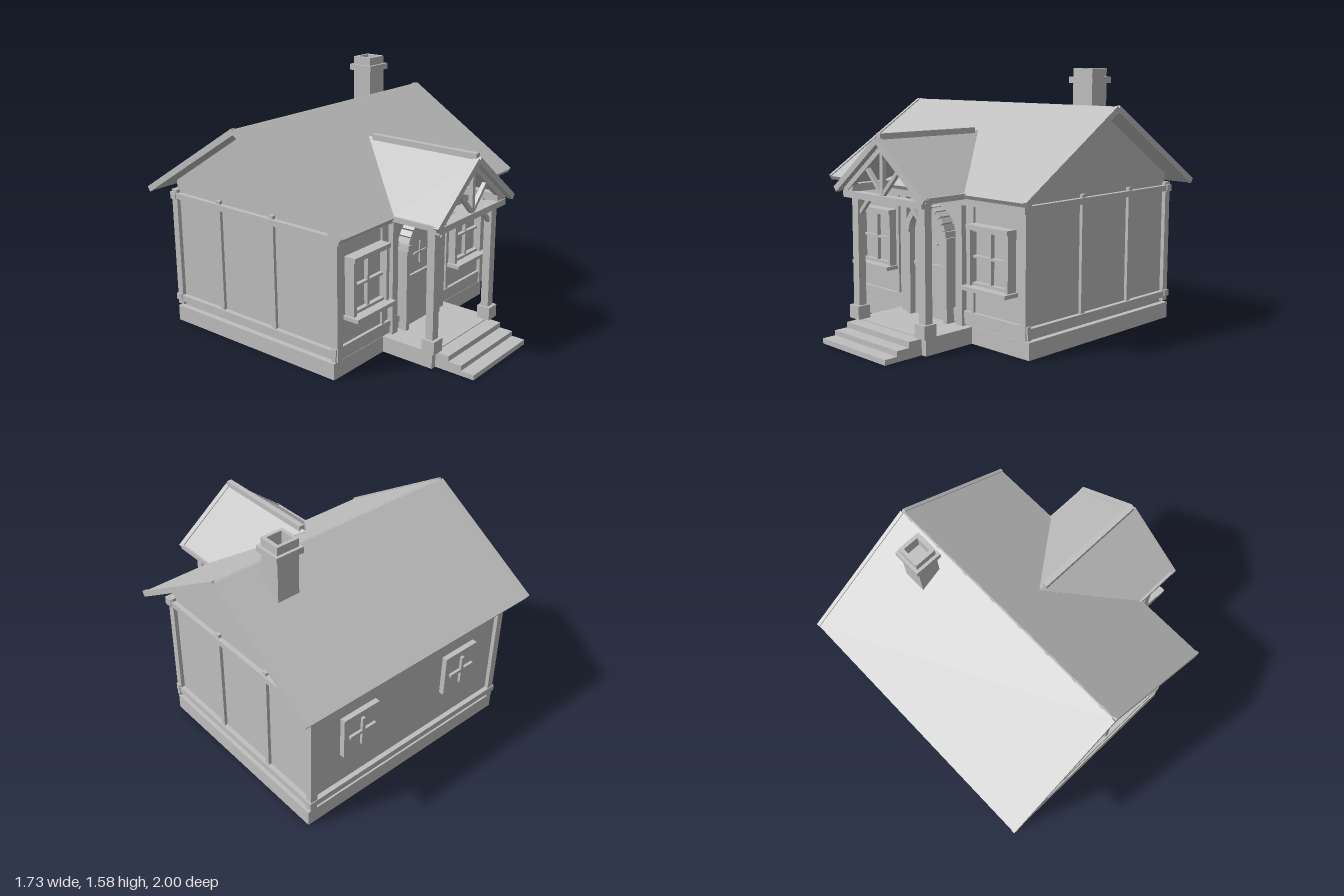
import * as THREE from 'three';
import { ConvexGeometry } from 'three/addons/geometries/ConvexGeometry.js';

const grey = new THREE.MeshStandardMaterial({ color: 0xbfbfbf });
grey.name = 'plain grey';

export function createModel() {
  const model = new THREE.Group();
  model.name = 'cottage';

  const add = (name, geometry, parent = model) => {
    const mesh = new THREE.Mesh(geometry, grey);
    mesh.name = name;
    parent.add(mesh);
    return mesh;
  };
  // box given by its limits on each axis
  const box = (name, x0, x1, y0, y1, z0, z1, parent = model) => {
    const mesh = add(name, new THREE.BoxGeometry(x1 - x0, y1 - y0, z1 - z0), parent);
    mesh.position.set((x0 + x1) / 2, (y0 + y1) / 2, (z0 + z1) / 2);
    return mesh;
  };
  // sloping beam or slab between two points
  const beam = (name, a, b, width, thick, parent = model) => {
    const p = new THREE.Vector3(...a), q = new THREE.Vector3(...b);
    const mesh = add(name, new THREE.BoxGeometry(width, thick, p.distanceTo(q)), parent);
    mesh.position.copy(p).lerp(q, 0.5);
    mesh.lookAt(q);
    return mesh;
  };
  // box repeated on both sides of x = 0
  const pair = (name, x0, x1, y0, y1, z0, z1) => {
    box(name, x0, x1, y0, y1, z0, z1);
    box(name, -x1, -x0, y0, y1, z0, z1);
  };

  // foundation, porch floor and steps
  box('foundation', -0.77, 0.77, 0, 0.1, -0.9, 0.39);
  box('porchFloor', -0.32, 0.32, 0, 0.1, 0.385, 0.74);
  [[0.74, 0.83, 0.095], [0.83, 0.915, 0.062], [0.915, 1, 0.031]].forEach(([z0, z1, h]) =>
    box('step', -0.285, 0.285, 0, h, z0, z1));

  // walls with both gables, as one house-shaped prism
  const profile = new THREE.Shape([[0.385, 0.1], [0.385, 0.935], [-0.24, 1.335], [-0.885, 0.925], [-0.885, 0.1]]
    .map(([z, y]) => new THREE.Vector2(z, y)));
  const walls = new THREE.ExtrudeGeometry(profile, { depth: 1.47, bevelEnabled: false });
  walls.translate(0, 0, -0.735).rotateY(-Math.PI / 2);
  add('walls', walls);

  // timber frame
  for (const [z0, z1] of [[0.365, 0.41], [-0.91, -0.865]]) {
    pair('cornerPost', 0.715, 0.76, 0.11, 0.87, z0, z1);
  }
  for (const z of [-0.08, -0.51]) pair('sidePost', 0.73, 0.755, 0.13, 0.87, z - 0.016, z + 0.016);
  pair('sideTopRail', 0.73, 0.765, 0.815, 0.85, -0.9, 0.4);
  pair('sideBottomRail', 0.73, 0.765, 0.135, 0.175, -0.9, 0.4);
  box('frontTopRail', -0.77, 0.77, 0.81, 0.86, 0.375, 0.43);
  box('backTopRail', -0.77, 0.77, 0.81, 0.855, -0.915, -0.87);
  box('backBottomRail', -0.77, 0.77, 0.14, 0.18, -0.915, -0.87);
  pair('frontBottomRail', 0.18, 0.77, 0.15, 0.19, 0.375, 0.405);
  pair('frontSill', 0.18, 0.77, 0.11, 0.15, 0.375, 0.4);
  pair('wallPost', 0.22, 0.27, 0.1, 0.81, 0.375, 0.42);
  pair('wallPost', 0.32, 0.345, 0.19, 0.81, 0.375, 0.4);

  // main roof
  for (const z of [0.515, -0.995]) {
    beam('roofPanel', [0, 1.35, -0.24], [0, 0.876, z], 1.7, 0.026);
    for (const s of [-1, 1]) {
      beam('bargeBoard', [s * 0.855, 1.352, -0.24], [s * 0.855, 0.878, z], 0.022, 0.036);
    }
  }
  const ridge = add('ridgeFill', new THREE.CylinderGeometry(0.013, 0.013, 1.7, 8));
  ridge.rotation.z = Math.PI / 2;
  ridge.position.set(0, 1.35, -0.24);

  // chimney with a hollow top
  const tube = (name, half, halfZ, y0, y1) => {
    const rect = (T, a, b) => new T([[-a, -b], [a, -b], [a, b], [-a, b]].map(p => new THREE.Vector2(...p)));
    const shape = rect(THREE.Shape, half, halfZ);
    shape.holes.push(rect(THREE.Path, 0.05, 0.048));
    const g = new THREE.ExtrudeGeometry(shape, { depth: y1 - y0, bevelEnabled: false });
    add(name, g.rotateX(-Math.PI / 2).translate(0.53, y0, -0.388));
  };
  box('chimneyShaft', 0.458, 0.602, 1.15, 1.49, -0.456, -0.32);
  tube('chimneyCollar', 0.09, 0.086, 1.487, 1.525);
  tube('chimneyTop', 0.072, 0.068, 1.525, 1.575);

  // porch roof, cut along the valleys of the main roof
  for (const s of [-1, 1]) {
    const top = [[0, 1.2, 0.8], [0, 1.2, 0.03], [s * 0.39, 0.892, 0.51], [s * 0.39, 0.892, 0.8]];
    const corners = top.flatMap(([x, y, z]) => [new THREE.Vector3(x, y, z), new THREE.Vector3(x, y - 0.03, z)]);
    add('porchRoofPanel', new ConvexGeometry(corners));
    beam('porchBargeBoard', [0, 1.183, 0.8], [s * 0.395, 0.873, 0.8], 0.035, 0.036);
    beam('porchRafter', [0, 1.135, 0.77], [s * 0.34, 0.868, 0.77], 0.035, 0.03);
    beam('porchStrut', [0, 0.87, 0.77], [s * 0.135, 1.01, 0.77], 0.025, 0.022);
    beam('porchBrace', [s * 0.275, 0.735, 0.72], [s * 0.19, 0.825, 0.72], 0.025, 0.022);
    box('eaveBoard', s * 0.393 - 0.008, s * 0.393 + 0.008, 0.865, 0.895, 0.5, 0.8);
  }
  box('porchRidgeCap', -0.018, 0.018, 1.185, 1.22, 0.07, 0.8);
  box('porchTieBeam', -0.35, 0.35, 0.83, 0.868, 0.745, 0.79);
  box('porchTieBeam', -0.32, 0.32, 0.825, 0.86, 0.695, 0.745);
  box('kingPost', -0.013, 0.013, 0.865, 1.16, 0.757, 0.783);
  pair('porchPlate', 0.27, 0.32, 0.865, 0.91, 0.385, 0.78);
  pair('porchPost', 0.27, 0.325, 0.17, 0.85, 0.695, 0.745);
  pair('postBase', 0.255, 0.34, 0.1, 0.18, 0.68, 0.765);

  // arched door with jambs and arch stones
  const door = new THREE.Group();
  door.name = 'door';
  model.add(door);
  const archY = 0.605;
  const leaf = new THREE.Shape();
  leaf.moveTo(-0.15, 0.1);
  leaf.lineTo(0.15, 0.1);
  leaf.lineTo(0.15, archY);
  leaf.absarc(0, archY, 0.15, 0, Math.PI, false);
  leaf.lineTo(-0.15, 0.1);
  const leafGeometry = new THREE.ExtrudeGeometry(leaf, { depth: 0.03, bevelEnabled: false, curveSegments: 20 });
  add('doorLeaf', leafGeometry.translate(0, 0, 0.385), door);
  for (const s of [-1, 1]) box('doorJamb', s * 0.163 - 0.015, s * 0.163 + 0.015, 0.1, archY, 0.385, 0.455, door);
  const stones = 13;
  for (let i = 0; i < stones; i++) {
    const a = (i + 0.5) / stones * Math.PI;
    const stone = add('archStone', new THREE.BoxGeometry(0.035, 0.036, 0.08), door);
    stone.position.set(Math.cos(a) * 0.164, archY + Math.sin(a) * 0.164, 0.425);
    stone.rotation.z = a;
  }
  box('doorRail', -0.14, 0.14, 0.41, 0.43, 0.41, 0.432, door);
  box('doorCrossBar', -0.063, 0.063, 0.545, 0.555, 0.41, 0.425, door);
  box('doorCrossBar', -0.005, 0.005, 0.48, 0.615, 0.41, 0.425, door);

  // front windows
  for (const x of [-0.505, 0.505]) {
    const w = new THREE.Group();
    w.name = 'frontWindow';
    model.add(w);
    box('pane', x - 0.15, x + 0.15, 0.36, 0.69, 0.38, 0.4, w);
    for (const s of [-1, 1]) box('windowSide', x + s * 0.148 - 0.012, x + s * 0.148 + 0.012, 0.36, 0.69, 0.385, 0.45, w);
    box('windowHead', x - 0.162, x + 0.162, 0.685, 0.712, 0.385, 0.46, w);
    box('windowSill', x - 0.175, x + 0.175, 0.34, 0.363, 0.385, 0.49, w);
    for (const y of [0.37, 0.682]) box('sashRail', x - 0.14, x + 0.14, y - 0.01, y + 0.01, 0.39, 0.43, w);
    box('muntin', x - 0.007, x + 0.007, 0.37, 0.685, 0.39, 0.425, w);
    box('muntin', x - 0.14, x + 0.14, 0.52, 0.534, 0.39, 0.425, w);
  }

  // back windows
  for (const x of [-0.4, 0.4]) {
    const w = new THREE.Group();
    w.name = 'backWindow';
    model.add(w);
    box('pane', x - 0.13, x + 0.13, 0.39, 0.66, -0.918, -0.88, w);
    box('muntin', x - 0.01, x + 0.01, 0.43, 0.62, -0.935, -0.91, w);
    box('muntin', x - 0.095, x + 0.095, 0.515, 0.535, -0.935, -0.91, w);
  }

  return model;
}
